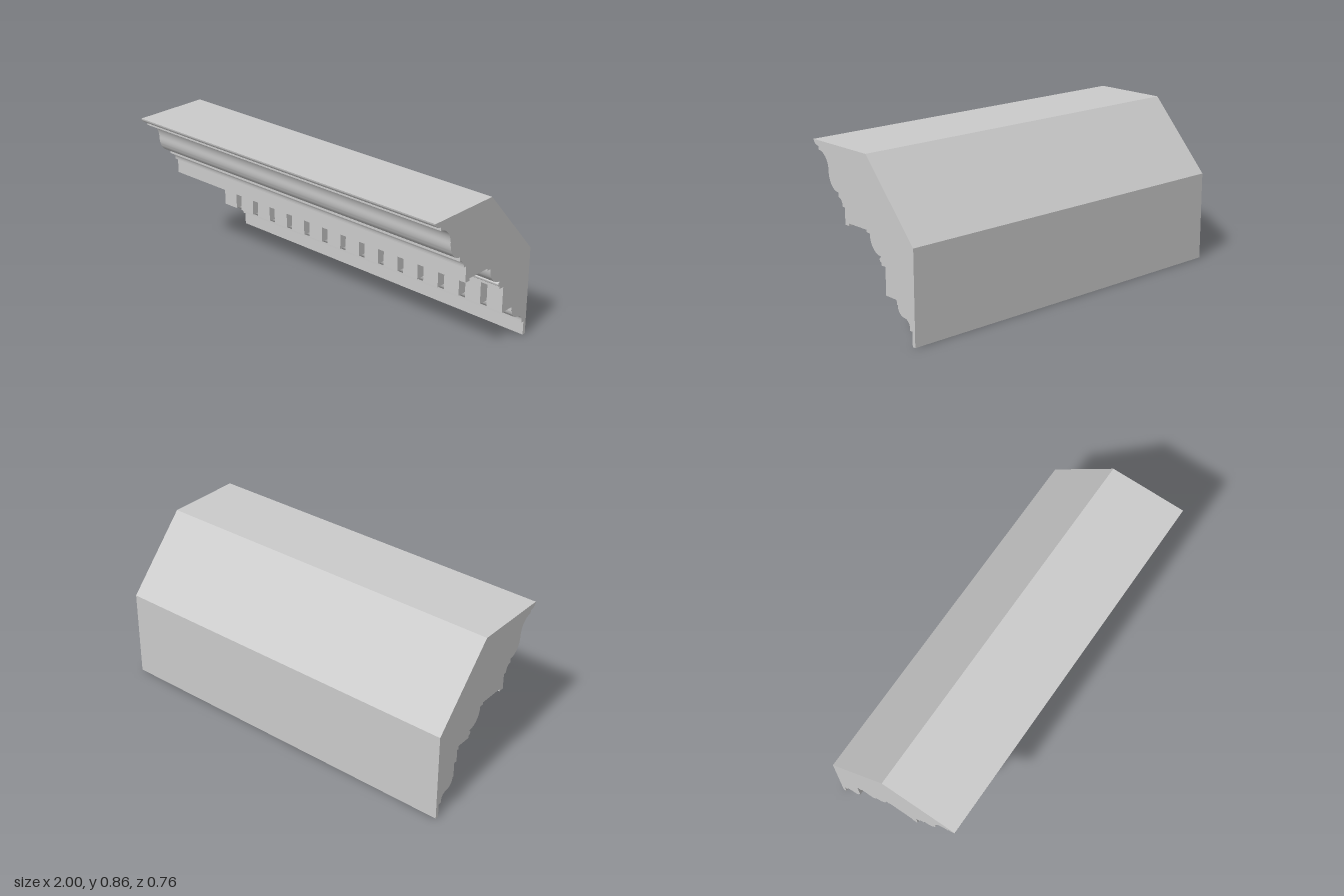
import * as THREE from 'three';
import { toCreasedNormals } from 'three/addons/utils/BufferGeometryUtils.js';

const LENGTH = 2;
const material = new THREE.MeshStandardMaterial({ color: 0xcccccc });

// Quarter ellipse from the current point to (z, y), leaving level or upright.
function quarter(shape, z, y, levelFirst) {
  const k = 0.5523;
  const { x: z0, y: y0 } = shape.currentPoint;
  const [cz, cy] = levelFirst ? [z, y0] : [z0, y];
  shape.bezierCurveTo(z0 + (cz - z0) * k, y0 + (cy - y0) * k,
    z + (cz - z) * k, y + (cy - y) * k, z, y);
}

function lines(shape, points) {
  for (const [z, y] of points) shape.lineTo(z, y);
}

// Sweep a (z, y) profile along x, centred on x.
function sweep(name, shape, width, x) {
  let geometry = new THREE.ExtrudeGeometry(shape, { depth: width, bevelEnabled: false, curveSegments: 14 });
  geometry.translate(0, 0, -width / 2);
  geometry.rotateY(-Math.PI / 2);
  geometry = toCreasedNormals(geometry, Math.PI / 6);
  const mesh = new THREE.Mesh(geometry, material);
  mesh.name = name;
  mesh.position.x = x;
  return mesh;
}

function corniceProfile() {
  const s = new THREE.Shape();
  s.moveTo(0.38, 0.857);
  // top lip and large S-curve
  quarter(s, 0.34, 0.828, false);
  s.lineTo(0.34, 0.81);
  quarter(s, 0.264, 0.72, true);
  quarter(s, 0.19, 0.627, false);
  // small cove and fascia with drip edge
  s.lineTo(0.19, 0.605);
  quarter(s, 0.157, 0.563, true);
  lines(s, [[0.14, 0.563], [0.14, 0.478], [0.11, 0.478], [0.11, 0.49],
    [-0.03, 0.49], [-0.03, 0.478], [-0.053, 0.478]]);
  // quarter round and bead
  quarter(s, -0.135, 0.384, false);
  s.lineTo(-0.135, 0.379);
  quarter(s, -0.125, 0.368, true);
  quarter(s, -0.137, 0.356, false);
  // recessed band behind the dentils
  lines(s, [[-0.137, 0.341], [-0.22, 0.341], [-0.22, 0.322],
    [-0.248, 0.322], [-0.248, 0.177], [-0.255, 0.177]]);
  // lower S-curve and foot
  quarter(s, -0.302, 0.127, false);
  quarter(s, -0.343, 0.088, true);
  lines(s, [[-0.343, 0.075], [-0.361, 0.075], [-0.361, 0], [-0.38, 0],
    [-0.38, 0.48], [-0.038, 0.857], [0.38, 0.857]]);
  return s;
}

function dentilProfile() {
  const s = new THREE.Shape();
  s.moveTo(-0.168, 0.341);
  lines(s, [[-0.168, 0.2], [-0.248, 0.2], [-0.248, 0.322], [-0.22, 0.322], [-0.22, 0.341]]);
  return s;
}

export function createModel() {
  const group = new THREE.Group();
  group.name = 'corniceMoulding';
  group.add(sweep('corniceBody', corniceProfile(), LENGTH, 0));

  // evenly spaced row of dentil blocks, flush with the +x end
  const dentils = new THREE.Group();
  dentils.name = 'dentils';
  const count = 15, pitch = LENGTH / count, width = 0.094;
  const shape = dentilProfile();
  for (let i = 0; i < count; i++) {
    dentils.add(sweep('dentil', shape, width, LENGTH / 2 - width / 2 - i * pitch));
  }
  group.add(dentils);
  return group;
}
